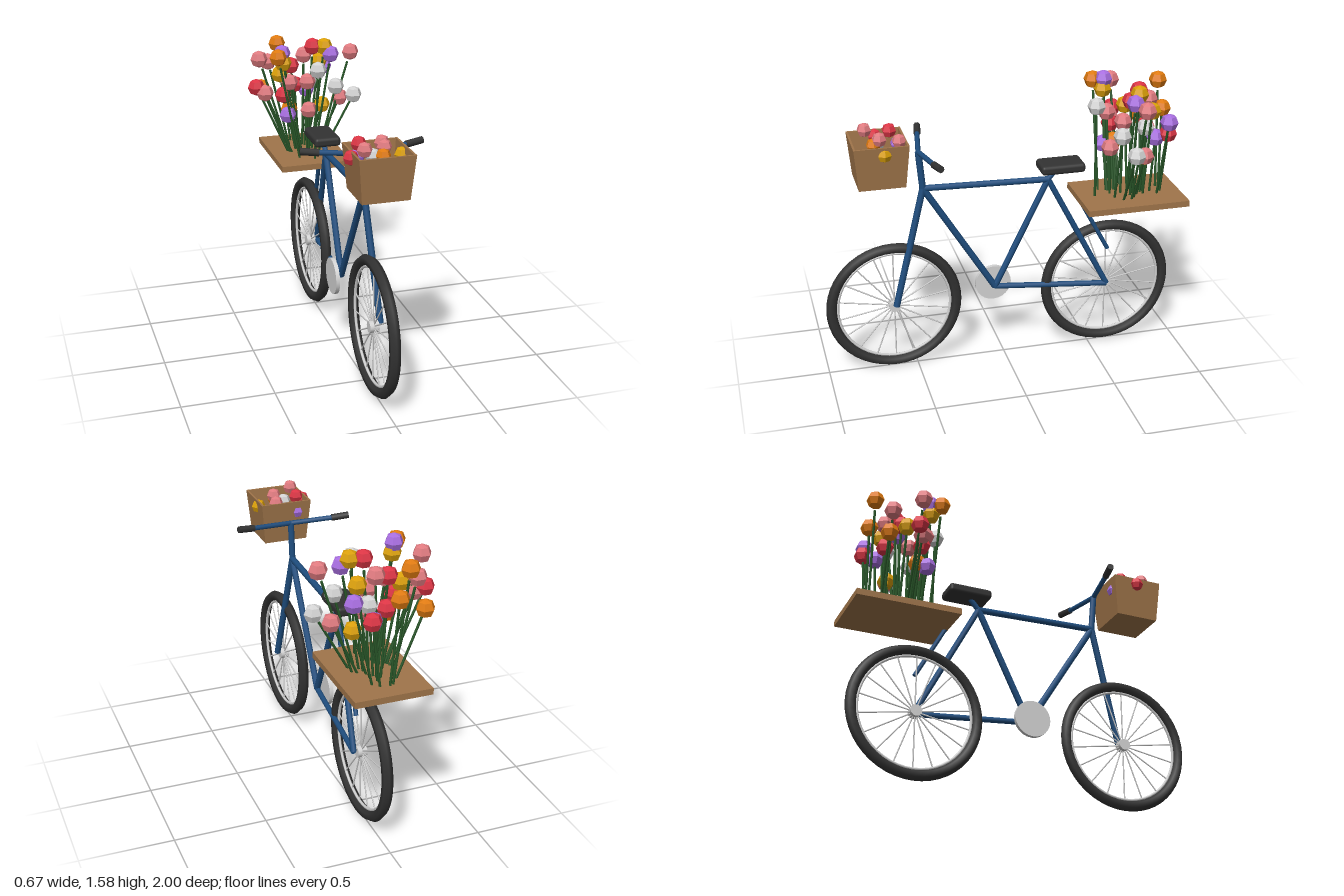
import * as THREE from 'three';
import { toCreasedNormals } from 'three/addons/utils/BufferGeometryUtils.js';
import { RoundedBoxGeometry } from 'three/addons/geometries/RoundedBoxGeometry.js';

const paint = (name, color) => {
  const m = new THREE.MeshStandardMaterial({ color });
  m.name = name;
  return m;
};

export function createModel() {
  const mats = {
    blue: paint('frame blue', 0x1f4e7f),
    black: paint('rubber black', 0x333333),
    silver: paint('silver white', 0xd4d4d4),
    brown: paint('wood brown', 0xa0754a),
    green: paint('stem green', 0x2a5a2a),
    pink: paint('pink', 0xe07b80),
    red: paint('red', 0xdc3545),
    orange: paint('orange', 0xe07b10),
    yellow: paint('yellow', 0xdba008),
    purple: paint('purple', 0xa86ee0),
  };
  const model = new THREE.Group();
  model.name = 'flowerBicycle';
  const V = (x, y, z) => new THREE.Vector3(x, y, z);
  const flat = (g) => toCreasedNormals(g, 0.01);

  const add = (name, geo, mat, x = 0, y = 0, z = 0, parent = model) => {
    const mesh = new THREE.Mesh(geo, mats[mat]);
    mesh.name = name;
    mesh.position.set(x, y, z);
    parent.add(mesh);
    return mesh;
  };

  // Straight rod between two points
  const rod = (name, a, b, r, mat, sides = 8, parent = model) => {
    const d = b.clone().sub(a);
    const c = a.clone().add(b).multiplyScalar(0.5);
    const mesh = add(name, new THREE.CylinderGeometry(r, r, d.length(), sides), mat, c.x, c.y, c.z, parent);
    mesh.quaternion.setFromUnitVectors(V(0, 1, 0), d.normalize());
    return mesh;
  };

  // Wheels: tyre, rim, hub and spokes
  const wheel = (name, z) => {
    const g = new THREE.Group();
    g.name = name;
    g.position.set(0, 0.388, z);
    add('tyre', new THREE.TorusGeometry(0.347, 0.03, 6, 48), 'black', 0, 0, 0, g).rotation.y = Math.PI / 2;
    add('rim', new THREE.TorusGeometry(0.314, 0.008, 6, 48), 'silver', 0, 0, 0, g).rotation.y = Math.PI / 2;
    add('hub', new THREE.CylinderGeometry(0.032, 0.032, 0.05, 12), 'silver', 0, 0, 0, g).rotation.z = Math.PI / 2;
    for (let i = 0; i < 9; i++) {
      const a = (i * Math.PI) / 9;
      const p = V(0, Math.cos(a) * 0.314, Math.sin(a) * 0.314);
      rod('spokePair', p.clone().negate(), p, 0.004, 'silver', 5, g);
    }
    model.add(g);
  };
  wheel('frontWheel', 0.62);
  wheel('rearWheel', -0.595);

  // Frame
  const head = V(0, 1.07, 0.444), crank = V(0, 0.432, 0.05), seat = V(0, 1.05, -0.25);
  const axle = V(0.04, 0.39, -0.592), barCentre = V(0, 1.28, 0.463);
  rod('topTube', head, seat, 0.018, 'blue');
  rod('downTube', head, crank, 0.018, 'blue');
  rod('seatTube', crank, seat, 0.018, 'blue');
  rod('seatPost', seat, V(0, 1.11, -0.3), 0.015, 'blue');
  rod('chainStay', crank, axle, 0.016, 'blue');
  rod('seatStay', seat, axle, 0.016, 'blue');
  rod('fork', head, V(0.04, 0.4, 0.615), 0.018, 'blue');
  rod('stem', head, barCentre, 0.018, 'blue');
  rod('rackStrut', V(0.01, 0.9, -0.437), V(0.03, 0.605, -0.595), 0.012, 'blue');
  add('chainring', new THREE.CylinderGeometry(0.102, 0.102, 0.022, 24), 'silver', -0.048, 0.434, 0.05).rotation.z = Math.PI / 2;

  // Handlebar and grips
  for (const s of [-1, 1]) {
    const joint = V(s * 0.23, 1.295, 0.425);
    rod('handlebar', barCentre, joint, 0.014, 'blue');
    rod('grip', joint, V(s * 0.325, 1.305, 0.407), 0.019, 'black');
  }

  // Saddle and rear rack
  add('saddle', new RoundedBoxGeometry(0.148, 0.052, 0.245, 2, 0.018), 'black', 0, 1.125, -0.32);
  add('rack', new THREE.BoxGeometry(0.412, 0.034, 0.575), 'brown', 0, 0.91, -0.7125);

  // Front basket: tapered square tub with open top
  const tub = [[0, 0], [0.124, 0], [0.145, 0.235], [0.134, 0.235], [0.114, 0.012], [0, 0.012]]
    .map(([r, y]) => new THREE.Vector2(r * Math.SQRT2, y));
  const tubGeo = new THREE.LatheGeometry(tub, 4);
  tubGeo.rotateY(Math.PI / 4);
  add('basket', flat(tubGeo), 'brown', 0, 1.14, 0.676);

  // Flowers on the rack: head positions by colour, each on a leaning stem
  const bunch = {
    pink: [[-0.27, 1.5, -0.68], [-0.185, 1.445, -0.82], [-0.11, 1.37, -0.61], [0.28, 1.5, -0.7], [0.22, 1.225, -0.72],
      [-0.24, 1.3, -0.67], [0.025, 1.475, -0.8], [0.01, 1.35, -0.665], [0, 1.2, -0.6]],
    red: [[-0.07, 1.435, -0.735], [0.06, 1.54, -0.73], [0.08, 1.285, -0.9], [-0.285, 1.33, -0.7], [-0.14, 1.29, -0.64], [-0.03, 1.3, -0.81]],
    orange: [[-0.19, 1.535, -0.55], [-0.11, 1.53, -0.9], [-0.055, 1.385, -0.91], [-0.22, 1.285, -0.845], [-0.105, 1.2, -0.65]],
    yellow: [[-0.15, 1.49, -0.595], [0.125, 1.54, -0.71], [0.115, 1.435, -0.79], [-0.14, 1.39, -0.725], [0.12, 1.18, -0.75]],
    purple: [[-0.155, 1.545, -0.6], [0.155, 1.5, -0.68], [0.165, 1.38, -0.87], [0.05, 1.257, -0.84], [-0.125, 1.18, -0.6]],
    silver: [[0.03, 1.457, -0.505], [0.165, 1.325, -0.61], [0.285, 1.255, -0.65], [0.05, 1.32, -0.78]],
  };
  const bigHead = flat(new THREE.SphereGeometry(0.05, 6, 4));
  for (const [colour, heads] of Object.entries(bunch)) {
    for (const [x, y, z] of heads) {
      const top = V(x, y, z), root = V(x * 0.36, 0.925, z * 0.94 - 0.043);
      add('flowerHead', bigHead, colour, x, y, z);
      rod('flowerStem', root, root.clone().lerp(top, 0.9), 0.007, 'green', 5);
    }
  }

  // Loose flowers in the basket
  const loose = {
    pink: [[0.05, 1.37, 0.57], [-0.09, 1.395, 0.73], [0.03, 1.38, 0.67]],
    red: [[-0.08, 1.385, 0.6], [-0.14, 1.34, 0.67]],
    orange: [[0.015, 1.345, 0.7]],
    yellow: [[0.125, 1.33, 0.66]],
    purple: [[-0.07, 1.31, 0.56]],
    silver: [[-0.03, 1.34, 0.67]],
  };
  const smallHead = flat(new THREE.SphereGeometry(0.04, 6, 4));
  for (const [colour, heads] of Object.entries(loose)) {
    for (const [x, y, z] of heads) add('basketFlower', smallHead, colour, x, y, z);
  }
  return model;
}
